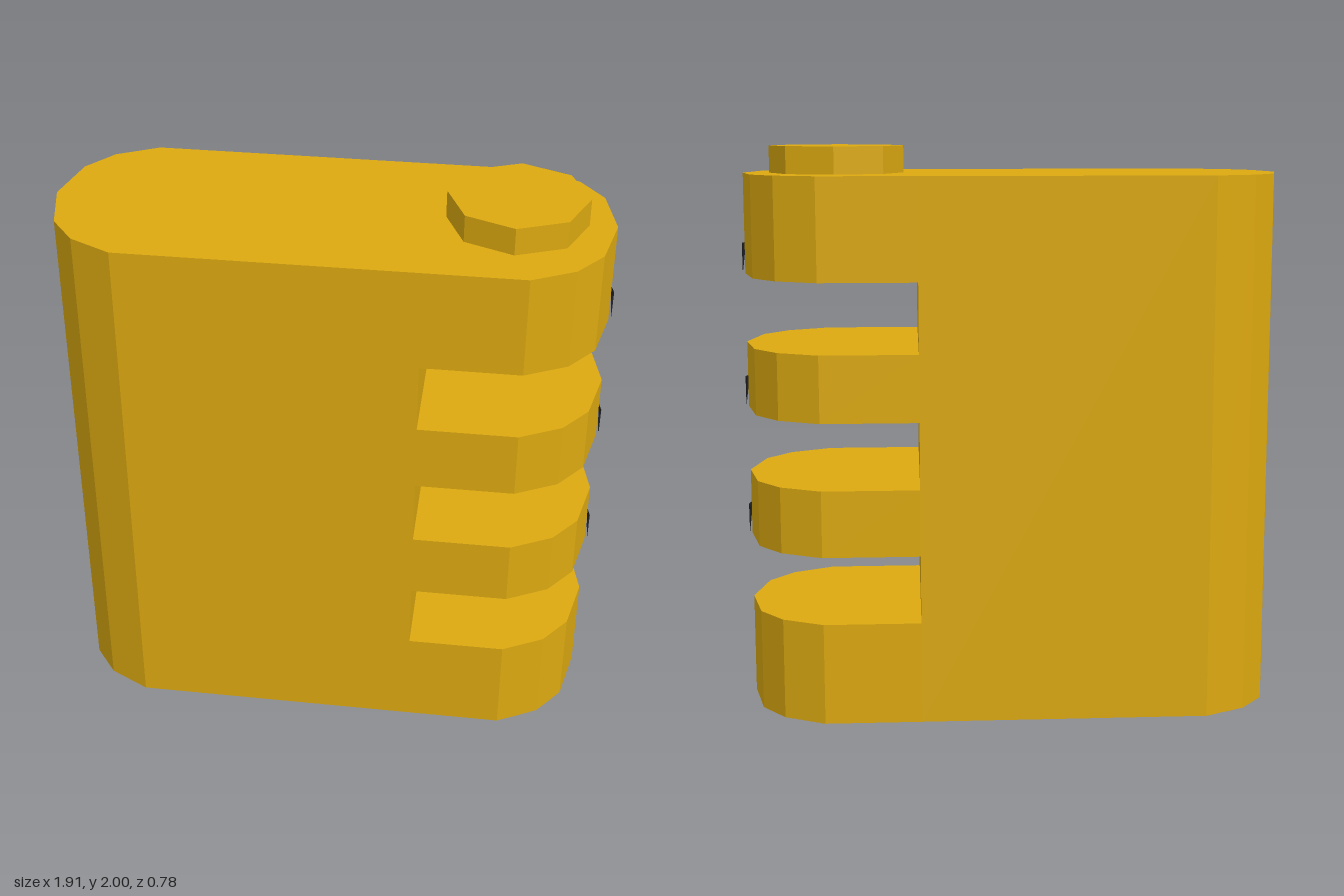
import * as THREE from 'three';

const yellow = new THREE.MeshStandardMaterial({ color: 0xdca910 });
const black = new THREE.MeshStandardMaterial({ color: 0x22242a, side: THREE.DoubleSide });
yellow.name = 'mustard yellow';
black.name = 'marker black';

const HEIGHT = 1.905;
const SLOT_X = 0.33;
// Bottom and top of each slot
const SLOTS = [[0.36, 0.6], [0.835, 1.07], [1.305, 1.55]];

// Plan outlines as [x, z], counter-clockwise from above
const mirrorZ = (half) => [...half, ...half.slice(0, -1).reverse().map(([x, z]) => [x, -z])];
const rightEnd = mirrorZ([[SLOT_X, 0.39], [0.67, 0.39], [0.815, 0.315], [0.9, 0.205], [0.943, 0]]);
const leftEnd = mirrorZ([[SLOT_X, 0.39], [-0.68, 0.39], [-0.825, 0.315], [-0.91, 0.205], [-0.955, 0]]).reverse();

// Flat faces from convex polygons, each fanned into triangles
function facesMesh(name, polygons, material) {
  const points = [];
  for (const p of polygons) {
    for (let i = 1; i < p.length - 1; i++) points.push(...p[0], ...p[i], ...p[i + 1]);
  }
  const geometry = new THREE.BufferGeometry();
  geometry.setAttribute('position', new THREE.Float32BufferAttribute(points, 3));
  geometry.computeVertexNormals();
  const mesh = new THREE.Mesh(geometry, material);
  mesh.name = name;
  return mesh;
}

const cap = (outline, y, up) => {
  const face = outline.map(([x, z]) => [x, y, z]);
  return up ? face : face.reverse();
};

const walls = (path, y0, y1) => path.slice(1).map(([bx, bz], i) => {
  const [ax, az] = path[i];
  return [[ax, y0, az], [bx, y0, bz], [bx, y1, bz], [ax, y1, az]];
});

export function createModel() {
  const model = new THREE.Group();
  model.name = 'slottedBlock';

  // Main body with the inner walls of the slots
  const body = walls(leftEnd, 0, HEIGHT);
  body.push(cap(leftEnd, 0, false), cap(leftEnd, HEIGHT, true));
  const slotEdge = [rightEnd[0], rightEnd[rightEnd.length - 1]];
  for (const [low, high] of SLOTS) body.push(...walls(slotEdge, low, high));
  model.add(facesMesh('body', body, yellow));

  // Teeth between the slots
  const levels = [0, ...SLOTS.flat(), HEIGHT];
  for (let i = 0; i < levels.length; i += 2) {
    const [low, high] = [levels[i], levels[i + 1]];
    const tooth = [...walls(rightEnd, low, high), cap(rightEnd, low, false), cap(rightEnd, high, true)];
    model.add(facesMesh('tooth', tooth, yellow));
  }

  // Pointed markers folded around the nose of the upper three teeth
  for (const [, y] of SLOTS) {
    const tip = [0.952, y, 0];
    const top = [0.953, y + 0.108, 0];
    model.add(facesMesh('marker', [
      [tip, top, [0.942, y + 0.108, 0.05]],
      [tip, [0.942, y + 0.108, -0.05], top],
    ], black));
  }

  // Octagonal button on top
  const button = new THREE.Mesh(
    new THREE.CylinderGeometry(0.237, 0.237, 2 - HEIGHT, 8).toNonIndexed(), yellow);
  button.geometry.computeVertexNormals();
  button.position.set(0.613, (2 + HEIGHT) / 2, 0);
  button.name = 'button';
  model.add(button);

  return model;
}
